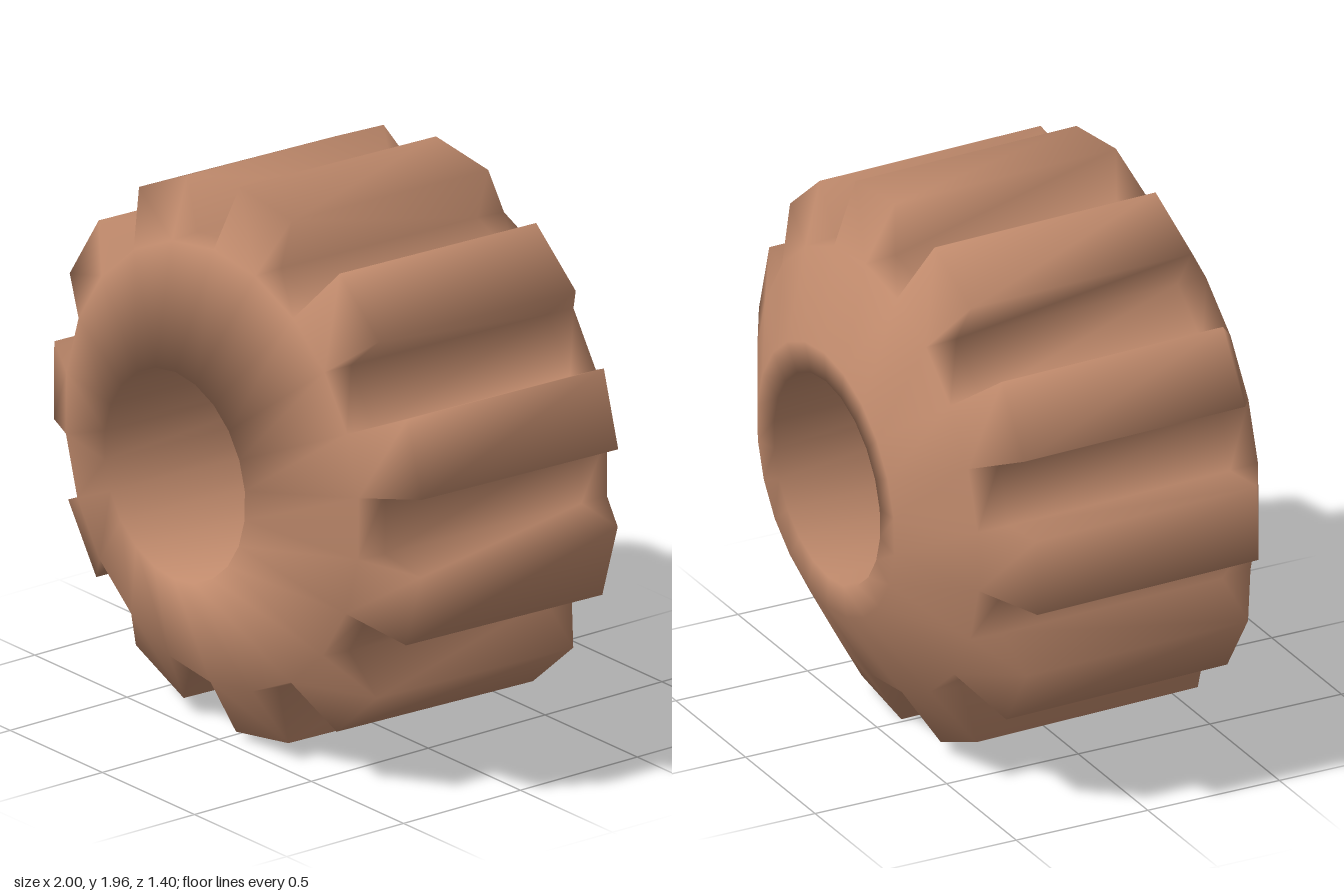
import * as THREE from 'three';

const TEETH = 11;
const SIDES = TEETH * 2;
const START = THREE.MathUtils.degToRad(74.6);

// Profile stations as [radius, z], front to back
const STATIONS = [
  [0.383, 0.69],   // 0 front hole edge
  [0.8, 0.53],     // 1 front shoulder, where teeth start
  [1.007, 0.42],   // 2 tooth tip front
  [1.007, -0.42],  // 3 tooth tip back
  [0.8, -0.535],   // 4 back shoulder
  [0.495, -0.695], // 5 back face rim
  [0.383, -0.69],  // 6 back hole edge
  [0.807, 0.42],   // 7 valley front
  [0.807, -0.42],  // 8 valley back
];
const TOOTH_PATH = [0, 1, 2, 3, 4, 5, 6, 0];
const VALLEY_PATH = [0, 1, 7, 8, 4, 5, 6, 0];
const WALL = [[1, 2, 7], [2, 3, 8], [2, 8, 7], [3, 4, 8]];

function toothedRing() {
  const positions = [];
  const index = [];
  const id = (side, station) => (side % SIDES) * STATIONS.length + station;

  for (let j = 0; j < SIDES; j++) {
    const a = START + (j / SIDES) * Math.PI * 2;
    for (const [r, z] of STATIONS) positions.push(r * Math.cos(a), r * Math.sin(a), z);
  }
  for (let j = 0; j < SIDES; j++) {
    const isTooth = j % 2 === 0;
    // skin of this sector, including the bore
    const path = isTooth ? TOOTH_PATH : VALLEY_PATH;
    for (let k = 0; k < path.length - 1; k++) {
      const a = id(j, path[k]), b = id(j + 1, path[k]);
      const c = id(j + 1, path[k + 1]), d = id(j, path[k + 1]);
      index.push(a, d, c, a, c, b);
    }
    // radial side wall of the tooth
    for (const [p, q, r] of WALL) {
      if (isTooth) index.push(id(j, p), id(j, r), id(j, q));
      else index.push(id(j, p), id(j, q), id(j, r));
    }
  }
  const geometry = new THREE.BufferGeometry();
  geometry.setAttribute('position', new THREE.Float32BufferAttribute(positions, 3));
  geometry.setIndex(index);
  geometry.scale(1, 0.964, 1); // slightly squashed in height
  geometry.computeVertexNormals();
  return geometry;
}

export function createModel() {
  const group = new THREE.Group();
  const clay = new THREE.MeshStandardMaterial({ color: 0xc08a6c });
  clay.name = 'clay';

  const bead = new THREE.Mesh(toothedRing(), clay);
  bead.name = 'toothedBead';
  bead.rotation.x = -0.022; // slight upward tilt of the front
  bead.position.y = 0.981;
  group.add(bead);
  return group;
}
